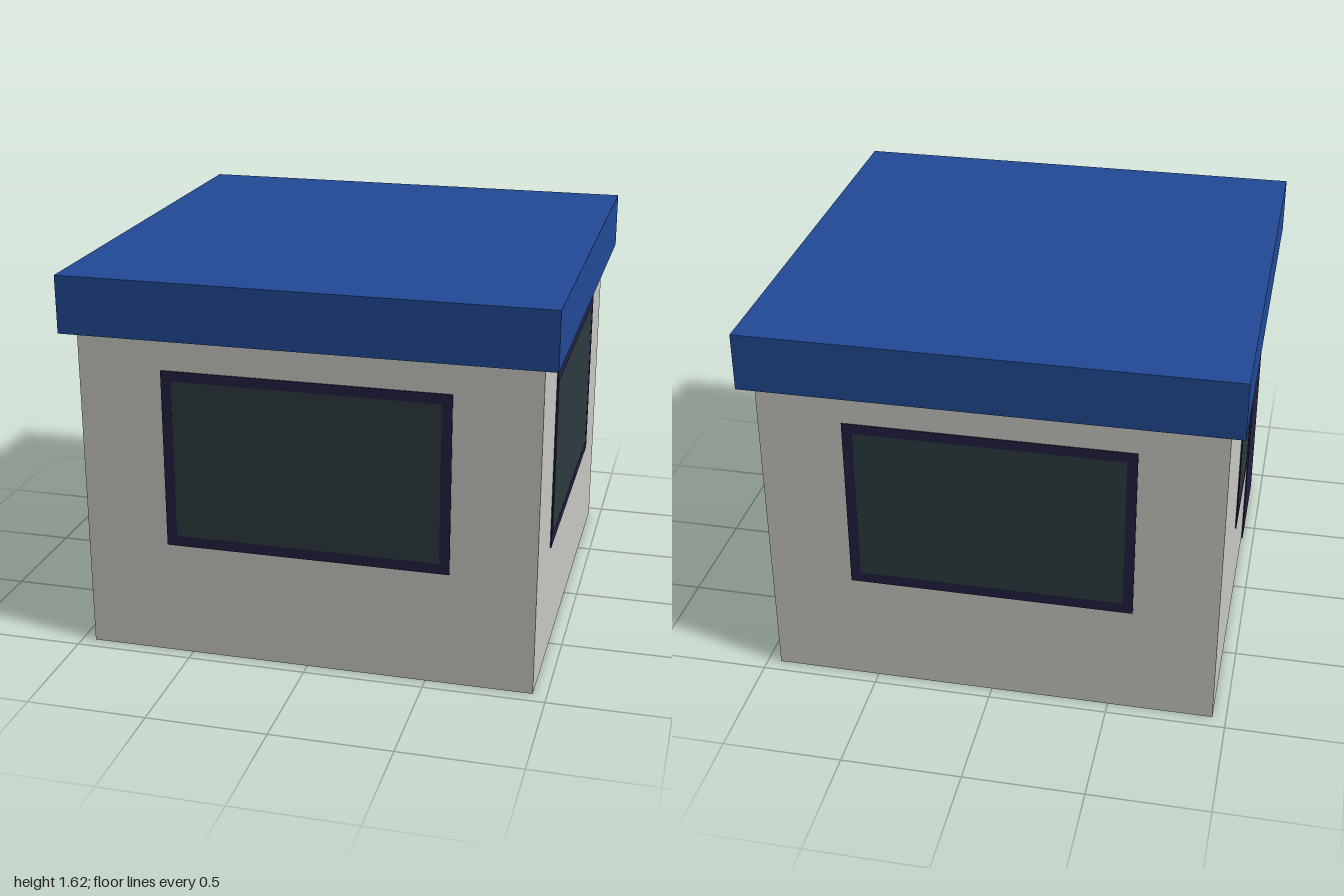
import * as THREE from 'three';

const WALL = 0.943, WALL_H = 1.385, ROOF_H = 0.24;

function material(name, color, side = THREE.FrontSide) {
  const m = new THREE.MeshStandardMaterial({ color, side });
  m.name = name;
  return m;
}

export function createModel() {
  const model = new THREE.Group();
  model.name = 'kiosk';
  const wallMat = material('pale grey wall', 0xc9c9c4, THREE.DoubleSide);
  const roofMat = material('blue roof', 0x224a97);
  const frameMat = material('dark violet trim', 0x232042);
  const glassMat = material('dark glass', 0x2d3a3f);

  const add = (parent, name, geometry, mat) => {
    const mesh = new THREE.Mesh(geometry, mat);
    mesh.name = name;
    parent.add(mesh);
    return mesh;
  };

  // Four thin walls, open below
  const r = WALL * Math.SQRT2;
  const shell = new THREE.CylinderGeometry(r, r, WALL_H, 4, 1, true, Math.PI / 4).toNonIndexed();
  shell.computeVertexNormals();
  add(model, 'walls', shell, wallMat).position.y = WALL_H / 2;

  // Overhanging flat roof
  add(model, 'roof', new THREE.BoxGeometry(2, ROOF_H, 2), roofMat).position.y = WALL_H + ROOF_H / 2;

  // Each side is a group turned to face outwards; local z = 0 is the wall surface
  const side = (name, angle) => {
    const g = new THREE.Group();
    g.name = name;
    g.rotation.y = angle;
    g.position.set(Math.sin(angle) * WALL, 0, Math.cos(angle) * WALL);
    model.add(g);
    return g;
  };

  const rect = (path, x0, x1, y0, y1) => {
    path.moveTo(x0, y0).lineTo(x1, y0).lineTo(x1, y1).lineTo(x0, y1).closePath();
    return path;
  };

  // Window: thin frame ring around a glass plate
  const addWindow = (parent, x0, x1) => {
    const y0 = 0.488, y1 = 1.246, b = 0.042;
    const ring = rect(new THREE.Shape(), x0, x1, y0, y1);
    ring.holes.push(rect(new THREE.Path(), x0 + b, x1 - b, y0 + b, y1 - b));
    const frame = new THREE.ExtrudeGeometry(ring, { depth: 0.005, bevelEnabled: false });
    add(parent, 'windowFrame', frame, frameMat).position.z = 0.001;
    const glass = new THREE.BoxGeometry(x1 - x0 - 2 * b, y1 - y0 - 2 * b, 0.004);
    add(parent, 'windowGlass', glass, glassMat).position.set((x0 + x1) / 2, (y0 + y1) / 2, 0.003);
  };

  // Wide windows on three sides
  [['frontSide', 0], ['leftSide', Math.PI / 2], ['backSide', Math.PI]].forEach(([name, angle]) =>
    addWindow(side(name, angle), -0.593, 0.593));

  // Entrance side: narrow window and door
  const entrance = side('entranceSide', -Math.PI / 2);
  addWindow(entrance, -0.25, 0.293);
  add(entrance, 'door', new THREE.BoxGeometry(0.49, 1.13, 0.006), frameMat).position.set(0.645, 0.565, 0.004);

  return model;
}
